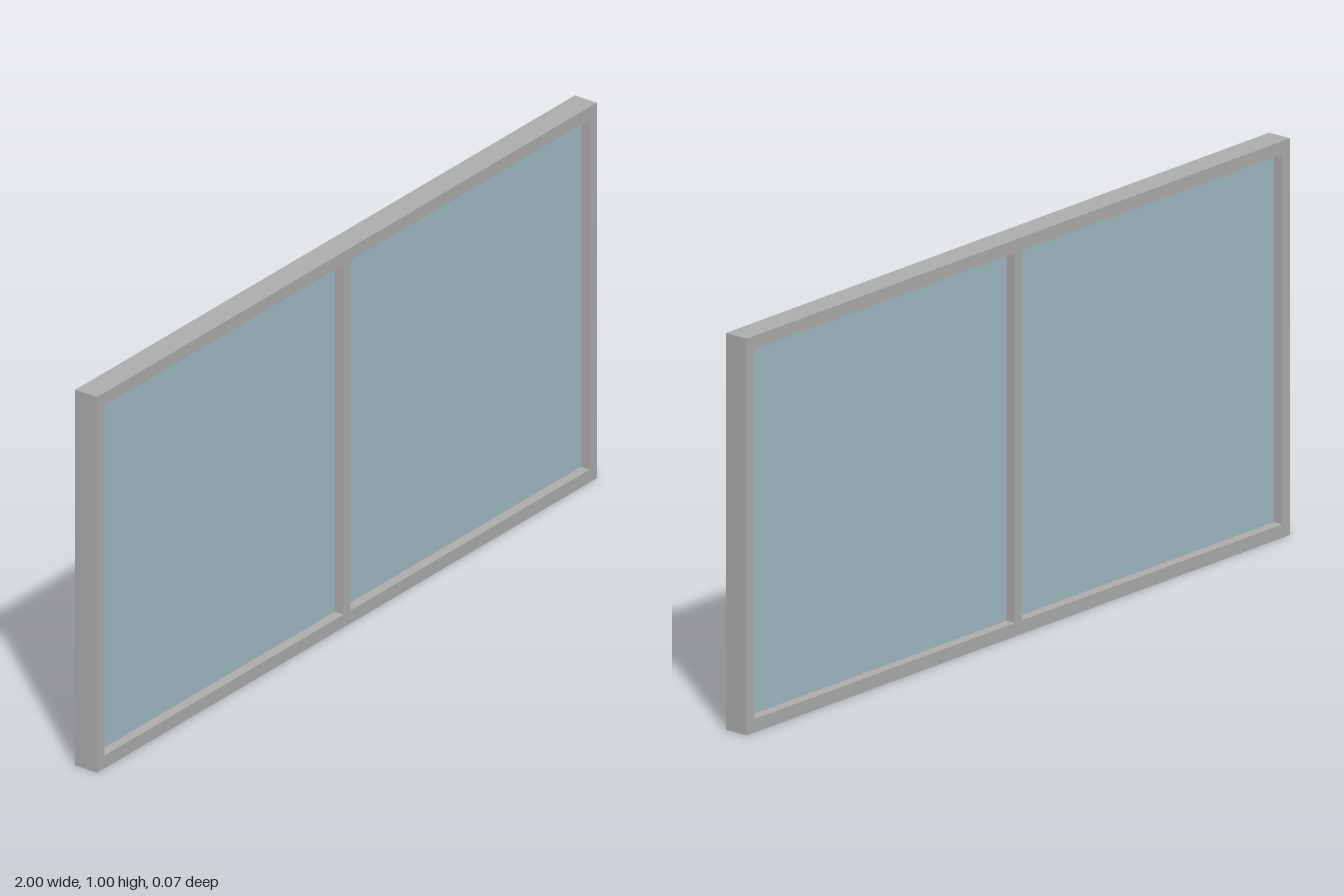
import * as THREE from 'three';

const WIDTH = 2, HEIGHT = 1, DEPTH = 0.066;
const SIDE = 0.029, RAIL = 0.034, MULLION = 0.027, GLASS = 0.013;

export function createModel() {
  const model = new THREE.Group();
  model.name = 'window';

  const frameGrey = new THREE.MeshStandardMaterial({ color: 0xadadad });
  frameGrey.name = 'frame grey';
  const glassBlue = new THREE.MeshStandardMaterial({ color: 0xa2bcc4 });
  glassBlue.name = 'glass blue';

  const paneWidth = WIDTH / 2 - SIDE - MULLION / 2;
  const paneHeight = HEIGHT - 2 * RAIL;
  const paneX = (MULLION + paneWidth) / 2;

  const rectangle = (Type, cx, cy, w, h) => new Type([
    new THREE.Vector2(cx - w / 2, cy - h / 2),
    new THREE.Vector2(cx + w / 2, cy - h / 2),
    new THREE.Vector2(cx + w / 2, cy + h / 2),
    new THREE.Vector2(cx - w / 2, cy + h / 2),
  ]);

  // Frame and central mullion in one piece, with two openings
  const outline = rectangle(THREE.Shape, 0, HEIGHT / 2, WIDTH, HEIGHT);
  for (const side of [-1, 1]) {
    outline.holes.push(rectangle(THREE.Path, side * paneX, HEIGHT / 2, paneWidth, paneHeight));
  }
  const frameGeometry = new THREE.ExtrudeGeometry(outline, { depth: DEPTH, bevelEnabled: false });
  frameGeometry.translate(0, 0, -DEPTH / 2);
  const frame = new THREE.Mesh(frameGeometry, frameGrey);
  frame.name = 'frame';
  model.add(frame);

  // Glass panes set in the middle of the frame depth
  for (const side of [-1, 1]) {
    const pane = new THREE.Mesh(new THREE.BoxGeometry(paneWidth, paneHeight, GLASS), glassBlue);
    pane.position.set(side * paneX, HEIGHT / 2, 0);
    pane.name = side > 0 ? 'leftPane' : 'rightPane';
    model.add(pane);
  }

  return model;
}
